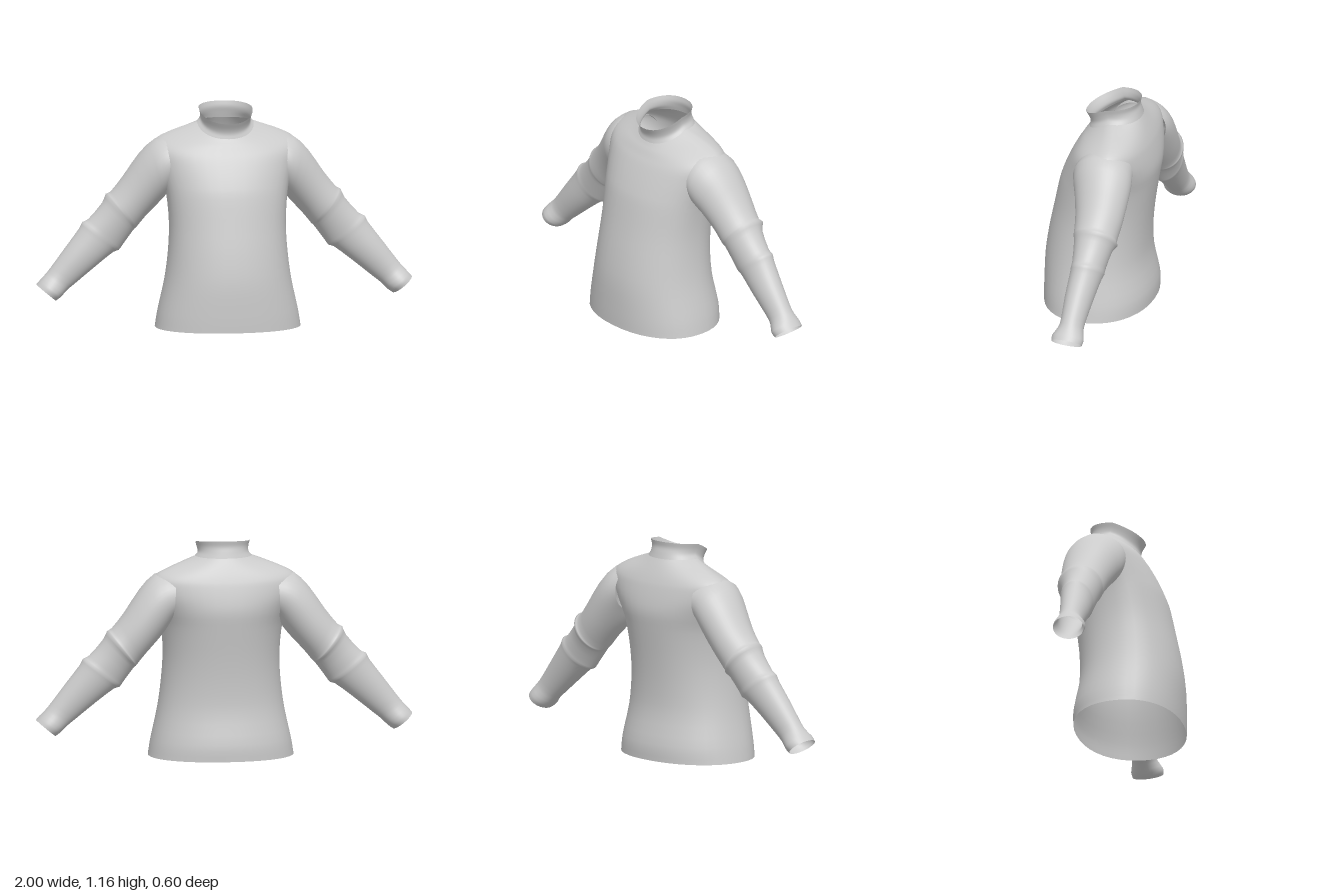
import * as THREE from 'three';

const material = new THREE.MeshStandardMaterial({ color: 0xcccccc, side: THREE.DoubleSide });
const SIDES = 40;

// Smoothly resample a list of equal-length rows
function resample(rows, steps) {
  const times = rows.map((_, i) => i);
  const track = new THREE.NumberKeyframeTrack('.v', times, rows.flat());
  const out = [];
  const curve = new THREE.CubicInterpolant(times, track.values, rows[0].length, new Float32Array(rows[0].length));
  for (let i = 0; i <= (rows.length - 1) * steps; i++) out.push(Array.from(curve.evaluate(i / steps)));
  return out;
}

// Skin closed rings into an open smooth tube; pointAt(row, angle) gives each vertex
function loft(name, rows, pointAt, flip = false) {
  const pos = [], index = [];
  rows.forEach((row, j) => {
    for (let i = 0; i < SIDES; i++) {
      pos.push(...pointAt(row, (i / SIDES) * Math.PI * 2));
      if (j === rows.length - 1) continue;
      const a = j * SIDES + i, b = j * SIDES + (i + 1) % SIDES;
      const c = a + SIDES, d = b + SIDES;
      if (flip) index.push(a, b, c, b, d, c);
      else index.push(a, c, b, b, c, d);
    }
  });
  const geo = new THREE.BufferGeometry();
  geo.setAttribute('position', new THREE.Float32BufferAttribute(pos, 3));
  geo.setIndex(index);
  geo.computeVertexNormals();
  const mesh = new THREE.Mesh(geo, material);
  mesh.name = name;
  return mesh;
}

// Body ring: half width, front z, side z, back z, front y, side y, back y
function bodyPoint([w, zf, zs, zb, yf, ys, yb], t) {
  const power = (v) => Math.sign(v) * Math.abs(v) ** 0.92;
  const c = power(Math.cos(t)), s = power(Math.sin(t)), k = Math.abs(s);
  return [w * c, ys + ((s > 0 ? yf : yb) - ys) * k, zs + ((s > 0 ? zf : zb) - zs) * k];
}

const level = (y, w, zf, zs, zb) => [w, zf, zs, zb, y, y, y];
const neckBase = [0.15, 0.07, -0.07, -0.21, 1.0, 1.075, 1.075];

const torsoRows = [
  level(0, 0.385, 0.3, 0.02, -0.28),
  level(0.09, 0.37, 0.302, 0.02, -0.28),
  level(0.25, 0.335, 0.3, 0.02, -0.25),
  level(0.4, 0.315, 0.28, 0.02, -0.25),
  level(0.55, 0.308, 0.25, 0.01, -0.265),
  level(0.7, 0.32, 0.218, -0.01, -0.288),
  [0.342, 0.195, -0.05, -0.3, 0.77, 0.79, 0.79],
  [0.37, 0.165, -0.09, -0.293, 0.84, 0.88, 0.86],
  [0.385, 0.135, -0.105, -0.277, 0.9, 0.94, 0.93],
  [0.365, 0.113, -0.11, -0.265, 0.935, 0.985, 0.965],
  [0.3, 0.095, -0.11, -0.25, 0.965, 1.02, 1.0],
  [0.21, 0.08, -0.09, -0.23, 0.985, 1.055, 1.04],
  neckBase,
];

const collarRows = [
  neckBase,
  [0.134, 0.066, -0.068, -0.202, 1.025, 1.095, 1.105],
  [0.134, 0.073, -0.06, -0.195, 1.05, 1.12, 1.135],
  [0.142, 0.092, -0.055, -0.2, 1.083, 1.15, 1.165],
];

// Sleeve ring: upper x, upper y, lower x, lower y, front z, back z
const sleeveRows = [
  [0.27, 1.0, 0.285, 0.74, 0.05, -0.25],
  [0.365, 0.985, 0.31, 0.695, 0.06, -0.262],
  [0.45, 0.905, 0.355, 0.64, 0.03, -0.262],
  [0.53, 0.79, 0.42, 0.57, 0.0, -0.255],
  [0.6, 0.703, 0.465, 0.515, -0.012, -0.245],
  [0.625, 0.69, 0.475, 0.505, -0.016, -0.255],
  [0.645, 0.645, 0.49, 0.488, -0.025, -0.232],
  [0.72, 0.56, 0.54, 0.42, -0.038, -0.215],
  [0.752, 0.545, 0.56, 0.393, -0.04, -0.215],
  [0.77, 0.51, 0.59, 0.383, -0.042, -0.208],
  [0.85, 0.405, 0.68, 0.315, -0.043, -0.192],
  [0.92, 0.312, 0.79, 0.226, -0.05, -0.178],
  [0.95, 0.275, 0.835, 0.19, -0.045, -0.18],
  [0.98, 0.243, 0.87, 0.155, -0.022, -0.193],
  [1.0, 0.22, 0.898, 0.135, -0.025, -0.19],
];

const sleevePoint = (side) => ([ux, uy, lx, ly, zf, zb], t) => {
  const up = (1 + Math.sin(t)) / 2, front = (1 + Math.cos(t)) / 2;
  return [side * (lx + (ux - lx) * up), ly + (uy - ly) * up, zb + (zf - zb) * front];
};

export function createModel() {
  const sweater = new THREE.Group();
  sweater.name = 'sweater';
  sweater.add(loft('torso', resample(torsoRows, 3), bodyPoint));
  sweater.add(loft('collar', resample(collarRows, 4), bodyPoint));
  const sleeve = resample(sleeveRows, 2);
  sweater.add(loft('leftSleeve', sleeve, sleevePoint(1)));
  sweater.add(loft('rightSleeve', sleeve, sleevePoint(-1), true));
  return sweater;
}
